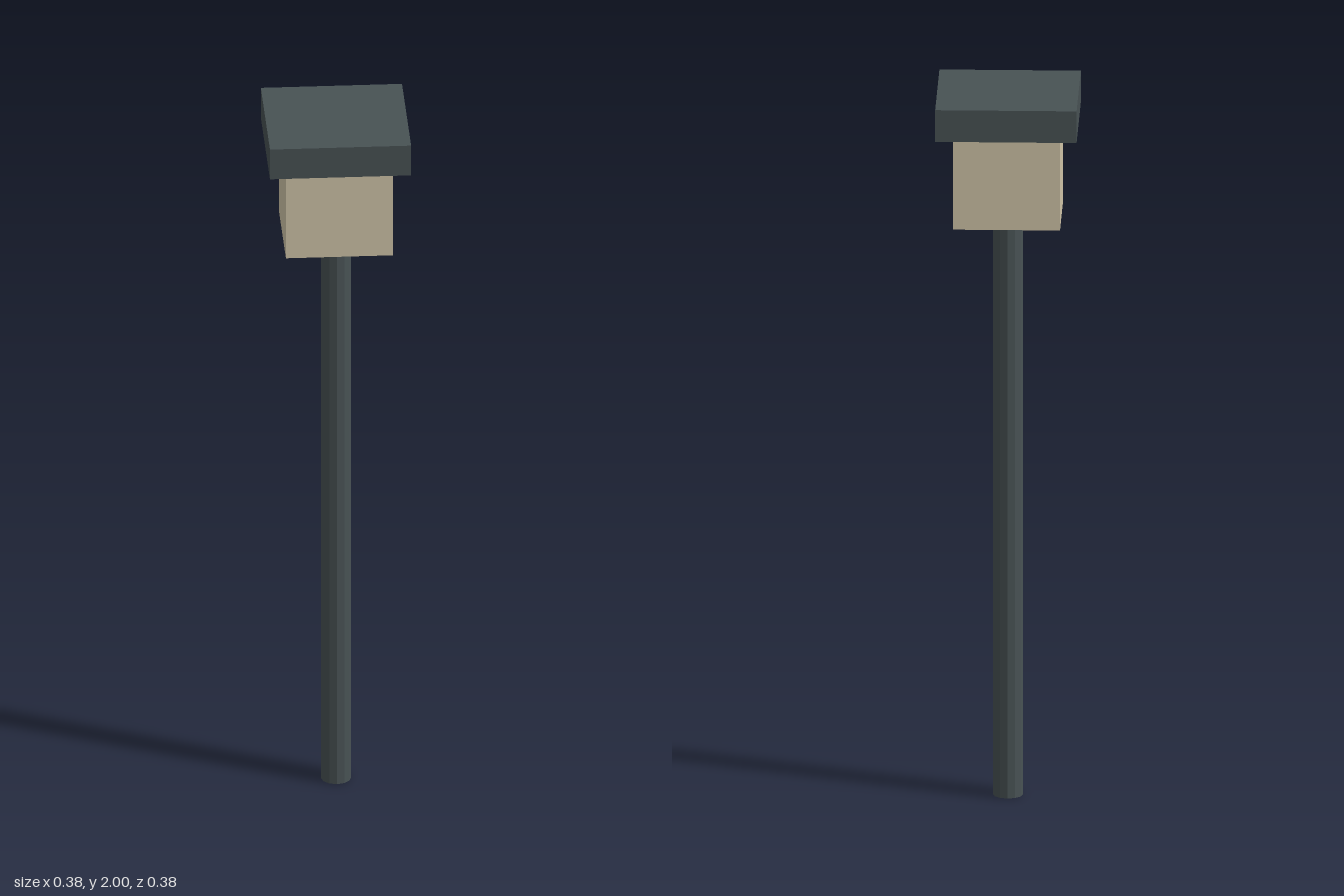
import * as THREE from 'three';

export function createModel() {
  const model = new THREE.Group();
  model.name = 'lampPost';
  const dark = new THREE.MeshStandardMaterial({ color: 0x485254, flatShading: true });
  const cream = new THREE.MeshStandardMaterial({ color: 0xd0c5a8, flatShading: true });

  // Adds a part standing on the given height
  function add(name, geometry, height, bottom, material) {
    const mesh = new THREE.Mesh(geometry, material);
    mesh.name = name;
    mesh.position.y = bottom + height / 2;
    model.add(mesh);
  }

  // Slender faceted post
  add('post', new THREE.CylinderGeometry(0.041, 0.041, 1.647, 12), 1.647, 0, dark);

  // Square lamp housing
  add('lamp', new THREE.BoxGeometry(0.292, 0.263, 0.292), 0.263, 1.647, cream);

  // Overhanging flat cap
  add('cap', new THREE.BoxGeometry(0.385, 0.09, 0.385), 0.09, 1.91, dark);

  return model;
}
